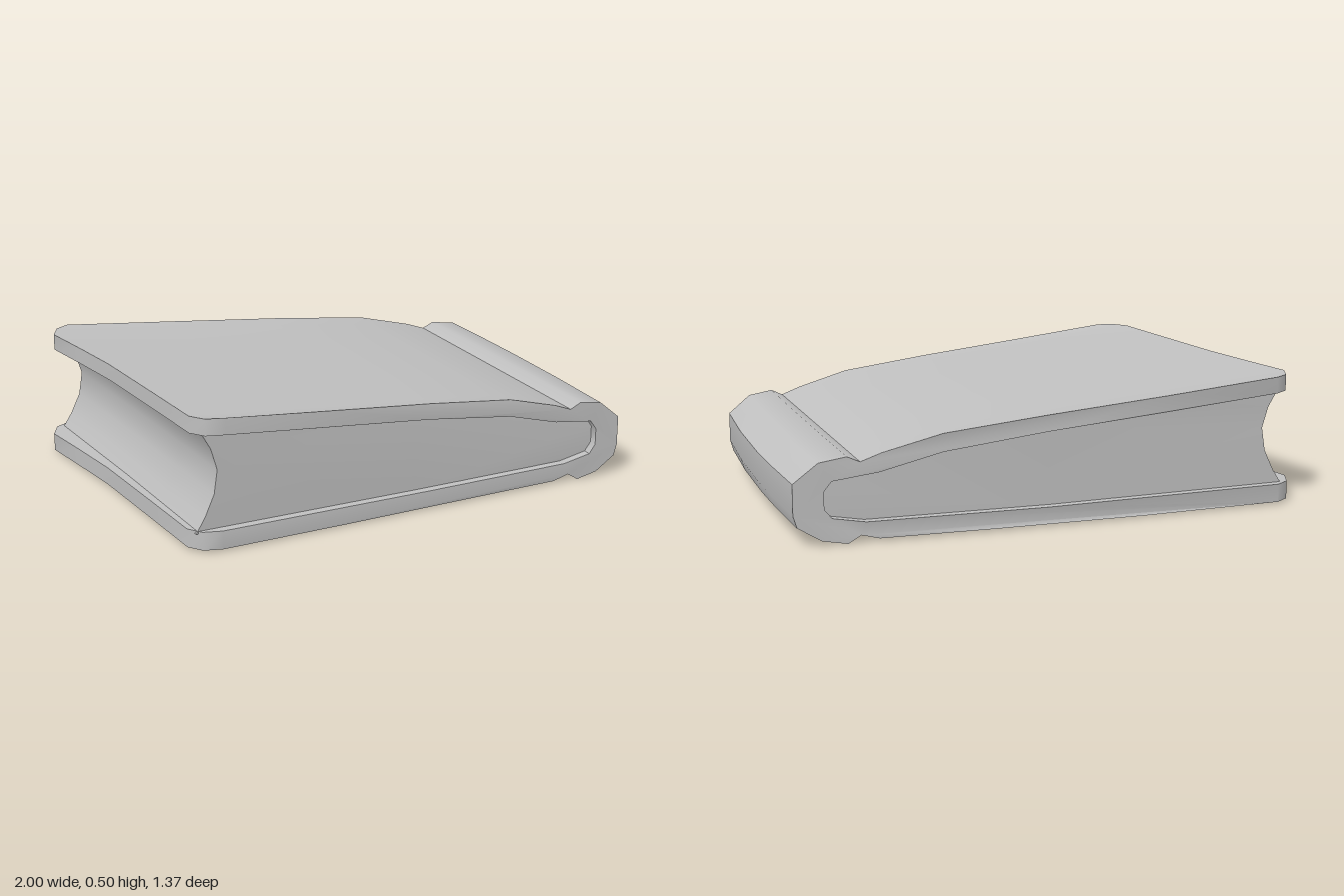
import * as THREE from 'three';
import { toCreasedNormals } from 'three/addons/utils/BufferGeometryUtils.js';

// piecewise-linear lookup through [position, value] pairs
function lookup(points, t) {
  if (t <= points[0][0]) return points[0][1];
  for (let i = 1; i < points.length; i++) {
    const [a, va] = points[i - 1], [b, vb] = points[i];
    if (t <= b) return va + (vb - va) * (t - a) / (b - a);
  }
  return points[points.length - 1][1];
}

// plan outline: front and back edges along x, spine bow along the depth (0 back, 1 front)
const frontEdge = [[-1, 0.69], [-0.74, 0.68], [0, 0.63], [0.65, 0.59], [1, 0.58]];
const backEdge = [[-1, -0.685], [-0.4, -0.69], [0.3, -0.68], [0.7, -0.665], [1, -0.66]];
const spineBow = [[0, -0.015], [0.35, 0], [0.7, -0.01], [1, -0.035]];

// sweeps a side profile from back to front and bends it to the plan outline
function sweep(profile, leftEdge, inset) {
  const shape = new THREE.Shape(profile.map(([x, y]) => new THREE.Vector2(x, y)));
  const steps = leftEdge.length - 1;
  const geometry = new THREE.ExtrudeGeometry(shape, { depth: 1, steps, bevelEnabled: false });
  const p = geometry.attributes.position;
  for (let i = 0; i < p.count; i++) {
    const [v, left] = leftEdge[Math.round(p.getZ(i) * steps)];
    let x = p.getX(i);
    if (x < 0.7) x = 0.7 + (x - 0.7) * (0.7 - left) / 1.7;
    else x += lookup(spineBow, v) * Math.max(0, (x - 0.75) / 0.25);
    const back = lookup(backEdge, x) + inset, front = lookup(frontEdge, x) - inset;
    p.setX(i, x);
    p.setZ(i, back + (front - back) * v);
  }
  return toCreasedNormals(geometry, 0.7);
}

export function createModel() {
  const group = new THREE.Group();
  group.name = 'book';
  const grey = new THREE.MeshStandardMaterial({ color: 0xc0c0c0 });
  grey.name = 'grey';

  // cover: lower board, rounded spine and sloping upper board in one band
  const coverProfile = [
    [-1, 0.01], [-0.4, 0.008], [0.2, 0.01], [0.67, 0.012], [0.74, 0.03], [0.79, 0.002],
    [0.89, 0.02], [0.985, 0.075], [1, 0.12], [1, 0.235], [0.9, 0.305], [0.79, 0.32],
    [0.74, 0.298], [0.66, 0.325], [0.42, 0.38], [0, 0.42], [-0.5, 0.46], [-0.98, 0.5],
    [-0.98, 0.437], [-0.5, 0.398], [0, 0.358], [0.42, 0.312], [0.67, 0.255], [0.85, 0.235],
    [0.88, 0.2], [0.88, 0.135], [0.85, 0.1], [0.72, 0.077], [0, 0.074], [-1, 0.08],
  ];
  const coverLeft = [
    [0, -0.91], [0.027, -0.965], [0.085, -1], [0.25, -0.96], [0.43, -0.92],
    [0.72, -0.88], [0.945, -0.85], [0.985, -0.81], [1, -0.74],
  ];
  const cover = new THREE.Mesh(sweep(coverProfile, coverLeft, 0), grey);
  cover.name = 'cover';
  group.add(cover);

  // page block with hollow fore edge, set in from the cover
  const pageProfile = [
    [-1, 0.07], [0, 0.068], [0.72, 0.07], [0.85, 0.094], [0.887, 0.13], [0.887, 0.205],
    [0.855, 0.242], [0.67, 0.263], [0.42, 0.32], [0, 0.368], [-0.5, 0.407], [-0.97, 0.445],
    [-0.93, 0.38], [-0.905, 0.3], [-0.92, 0.21], [-0.96, 0.13],
  ];
  const pageLeft = [[0, -0.94], [0.25, -0.91], [0.5, -0.88], [0.75, -0.855], [1, -0.83]];
  const pages = new THREE.Mesh(sweep(pageProfile, pageLeft, 0.035), grey);
  pages.name = 'pages';
  group.add(pages);

  return group;
}
